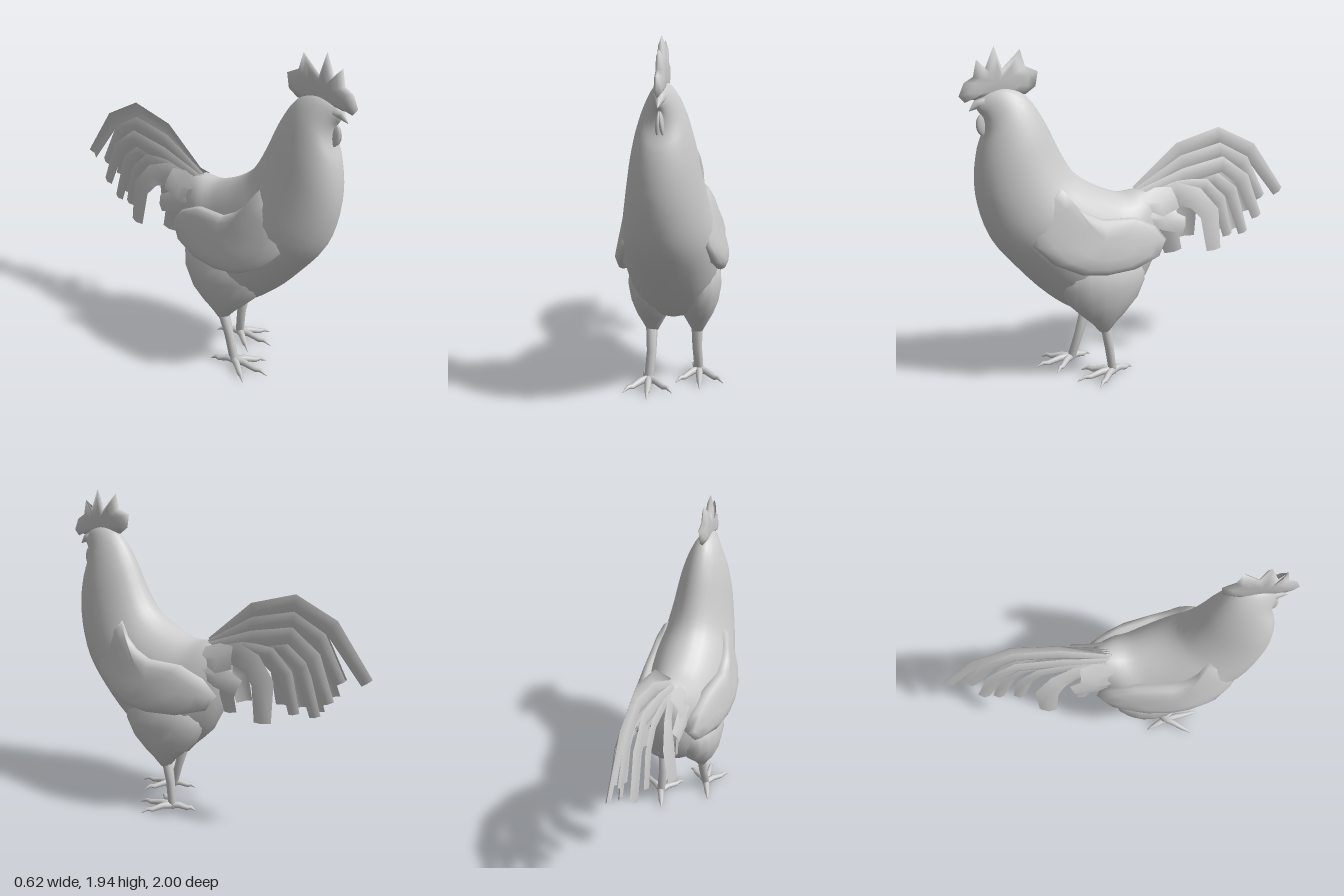
import * as THREE from 'three';

const V = (x, y, z) => new THREE.Vector3(x, y, z);
const grey = () => new THREE.MeshStandardMaterial({ color: 0xcccccc, side: THREE.DoubleSide });

// Skin a list of cross-sections; closed sections are capped and turned outward.
function loft(rings, closed = true) {
  const n = rings[0].length, pts = rings.flat(), idx = [];
  const span = closed ? n : n - 1;
  for (let i = 0; i < rings.length - 1; i++)
    for (let j = 0; j < span; j++) {
      const a = i * n + j, b = i * n + (j + 1) % n;
      idx.push(a, b, a + n, b, b + n, a + n);
    }
  if (closed) {
    [0, rings.length - 1].forEach((r, end) => {
      const mid = rings[r].reduce((s, p) => s.add(p), V(0, 0, 0)).divideScalar(n);
      const k = pts.push(mid) - 1;
      for (let j = 0; j < n; j++) {
        const a = r * n + j, b = r * n + (j + 1) % n;
        idx.push(k, ...(end ? [a, b] : [b, a]));
      }
    });
    let volume = 0;
    for (let i = 0; i < idx.length; i += 3)
      volume += pts[idx[i]].dot(pts[idx[i + 1]].clone().cross(pts[idx[i + 2]]));
    if (volume < 0) idx.reverse();
  }
  const g = new THREE.BufferGeometry().setFromPoints(pts);
  g.setIndex(idx);
  g.computeVertexNormals();
  return g;
}

// Points around a loop, from a rule that takes the angle.
const loop = (n, rule) => Array.from({ length: n }, (_, j) => rule(j / n * Math.PI * 2));

// Round limb with a radius at every path point.
function limb(path, radii, sides = 8) {
  return loft(path.map((p, i) => {
    const t = path[Math.min(i + 1, path.length - 1)].clone().sub(path[Math.max(i - 1, 0)]).normalize();
    const u = t.clone().cross(V(1, 0, 0)).normalize(), v = t.clone().cross(u);
    return loop(sides, a =>
      p.clone().addScaledVector(u, radii[i] * Math.cos(a)).addScaledVector(v, radii[i] * Math.sin(a)));
  }));
}

// Puffed plate: a [z, y] outline shrunk about its centre in steps of [scale, depth].
function plate(outline, [cz, cy], steps, xAt) {
  return loft(steps.map(([s, depth]) => outline.map(([oz, oy]) => {
    const z = cz + (oz - cz) * s, y = cy + (oy - cy) * s;
    return V(xAt(z, y, depth), y, z);
  })));
}

// Feather blade along [z, y] points, leaning sideways from x0 to x1.
function feather(path, width, x0, x1, tilt, side) {
  const n = path.length - 1;
  return loft(path.map(([z, y], i) => {
    const a = path[Math.max(i - 1, 0)], b = path[Math.min(i + 1, n)];
    const len = Math.hypot(b[0] - a[0], b[1] - a[1]);
    const nz = -(b[1] - a[1]) / len, ny = (b[0] - a[0]) / len;
    const w = width / 2 * (i === 0 ? 0.5 : i === n ? 0.75 : 1);
    const x = x0 + (x1 - x0) * i / n;
    return [-1, 0, 1].map(k => V(side * (x + (k ? 0 : 0.016) + k * w * tilt), y + k * w * ny, z + k * w * nz));
  }), false);
}

// The spine swings gently sideways from head to tail.
function bend(g) {
  const p = g.attributes.position;
  for (let i = 0; i < p.count; i++) p.setX(i, p.getX(i) + 0.045 - 0.1 * p.getZ(i));
  g.computeVertexNormals();
  return g;
}

function bodyGeometry() {
  // back z, y; breast z, y; half width
  const sections = [
    [0.90, 1.67, 0.91, 1.61, 0.015], [0.83, 1.71, 0.88, 1.56, 0.045],
    [0.74, 1.72, 0.88, 1.48, 0.08], [0.64, 1.67, 0.915, 1.38, 0.12],
    [0.55, 1.54, 0.935, 1.24, 0.16], [0.47, 1.37, 0.925, 1.08, 0.19],
    [0.40, 1.25, 0.86, 0.88, 0.222], [0.32, 1.18, 0.73, 0.71, 0.25],
    [0.20, 1.12, 0.55, 0.52, 0.257], [0.10, 1.09, 0.39, 0.41, 0.245],
    [0.00, 1.10, 0.20, 0.39, 0.215], [-0.08, 1.09, 0.06, 0.46, 0.16],
    [-0.13, 1.05, -0.04, 0.58, 0.11], [-0.14, 0.97, -0.12, 0.74, 0.045]];
  const back = new THREE.CatmullRomCurve3(sections.map(s => V(s[4], s[1], s[0])));
  const breast = new THREE.CatmullRomCurve3(sections.map(s => V(0, s[3], s[2])));
  return loft(Array.from({ length: 40 }, (_, i) => {
    const t = back.getPoint(i / 39), b = breast.getPoint(i / 39);
    return loop(28, a => {
      const k = (1 + Math.cos(a)) / 2;
      return V(t.x * Math.sin(a) * (1 - 0.1 * Math.cos(a)), b.y + (t.y - b.y) * k, b.z + (t.z - b.z) * k);
    });
  }));
}

function wingGeometry(side) {
  const outline = [[0.53, 1.19], [0.47, 1.10], [0.40, 1.04], [0.31, 0.995], [0.10, 0.98], [-0.04, 0.91],
    [-0.12, 0.82], [-0.06, 0.73], [0.12, 0.685], [0.30, 0.68], [0.45, 0.70], [0.60, 0.77],
    [0.70, 0.88], [0.71, 1.00], [0.65, 1.10], [0.59, 1.15]];
  return plate(outline, [0.3, 0.84], [[0.9, 0.1], [1, 0.035], [0.94, 0.012], [0.75, 0], [0.4, -0.002]],
    (z, y, inset) => side * (0.305 - 0.46 * (z - 0.38) ** 2 - 0.22 * Math.max(0, y - 0.8) - inset));
}

function combGeometry() {
  const outline = [[1.0, 1.68], [0.97, 1.75], [0.92, 1.78], [0.90, 1.87], [0.86, 1.81],
    [0.805, 1.94], [0.765, 1.82], [0.665, 1.92], [0.64, 1.83], [0.57, 1.80], [0.585, 1.72], [0.64, 1.68],
    [0.75, 1.67], [0.86, 1.65], [0.94, 1.66], [0.97, 1.645]];
  return plate(outline, [0.78, 1.74], [[0.5, -0.024], [0.75, -0.018], [1, 0], [0.75, 0.018], [0.5, 0.024]],
    (z, y, depth) => depth);
}

// Drumstick from flank to shank: y, centre x, half width, half length
function thighGeometry(x) {
  const rows = [[0.8, 0.1, 0.1, 0.18], [0.68, 0.115, 0.145, 0.27], [0.58, 0.12, 0.147, 0.262],
    [0.48, 0.122, 0.128, 0.215], [0.4, 0.13, 0.09, 0.135], [0.345, 0.13, 0.06, 0.075], [0.29, 0.13, 0.03, 0.03]];
  return loft(rows.map(([y, cx, rx, rz]) => loop(18, a =>
    V(Math.sign(x) * cx + 0.014 + rx * Math.sin(a), y, 0.26 + rz * Math.cos(a)))));
}

export function createModel() {
  const model = new THREE.Group();
  const add = (name, geometry) => {
    const mesh = new THREE.Mesh(geometry, grey());
    mesh.name = name;
    model.add(mesh);
  };

  add('body', bend(bodyGeometry()));
  add('comb', bend(combGeometry()));
  add('beak', bend(limb([V(0, 1.645, 0.85), V(0, 1.635, 0.91), V(0, 1.6, 0.95)], [0.04, 0.024, 0.002])));
  for (const s of [-1, 1]) {
    const wattle = new THREE.SphereGeometry(1, 12, 8).scale(0.012, 0.06, 0.035);
    add('wattle', bend(wattle.rotateZ(s * 0.1).translate(s * 0.008, 1.525, 0.88)));
    add('wing', bend(wingGeometry(s)));
  }

  // Tail plumes: path, width, sideways start and end, tilt
  const plumes = [
    [[[0, 1.09], [-0.29, 1.31], [-0.54, 1.385], [-0.76, 1.28], [-0.975, 1.0]], 0.1, -0.01, -0.01, 0.03],
    [[[0, 1.08], [-0.3, 1.235], [-0.54, 1.295], [-0.7, 1.21], [-0.83, 0.98]], 0.095, 0.01, 0.015, 0.06],
    [[[0, 1.07], [-0.3, 1.16], [-0.54, 1.215], [-0.68, 1.11], [-0.78, 0.87]], 0.095, 0.03, 0.06, 0.1],
    [[[-0.02, 1.06], [-0.3, 1.12], [-0.49, 1.13], [-0.61, 1.04], [-0.7, 0.77]], 0.09, 0.025, 0.04, 0.06],
    [[[-0.04, 1.05], [-0.25, 1.1], [-0.42, 1.09], [-0.52, 0.99], [-0.58, 0.77]], 0.09, 0.045, 0.06, 0.06],
    [[[-0.04, 1.05], [-0.22, 1.065], [-0.33, 1.035], [-0.41, 0.94], [-0.425, 0.72]], 0.135, 0.05, 0.16, 0.15]];
  const coverts = [
    [[[0, 1.04], [-0.1, 1.03], [-0.2, 1.05]], 0.16, 0.09, 0.1, 0.5],
    [[[0, 0.96], [-0.12, 0.93], [-0.25, 0.88]], 0.13, 0.12, 0.12, 0.3],
    [[[-0.05, 0.95], [-0.15, 0.87], [-0.19, 0.72]], 0.13, 0.09, 0.1, -0.3]];
  for (const s of [-1, 1]) {
    plumes.forEach((p, i) => {
      if (i || s > 0) add('tailFeather', bend(feather(...p, s)));
    });
    coverts.forEach(p => add('tailCovert', bend(feather(...p, s))));
  }

  // Legs in mid-stride: hip x, ankle x and z
  for (const [hip, x, z] of [[-0.12, -0.135, 0.36], [0.142, 0.155, 0.21]]) {
    add('thigh', thighGeometry(hip));
    add('shank', limb([V(hip, 0.36, 0.255), V(hip, 0.18, 0.25 + (z - 0.25) * 0.55), V(x, 0.02, z)],
      [0.036, 0.028, 0.026]));
    for (const [angle, length] of [[0, 0.23], [0.75, 0.2], [-0.75, 0.2], [Math.PI + 0.25, 0.15]]) {
      const at = (d, y) => V(x + Math.sin(angle) * d * length, y, z + Math.cos(angle) * d * length);
      add('toe', limb([at(-0.05, 0.03), at(0.3, 0.036), at(0.65, 0.02), at(0.8, 0.026), at(1, 0.006)],
        [0.024, 0.02, 0.016, 0.012, 0.002]));
    }
  }
  return model;
}
